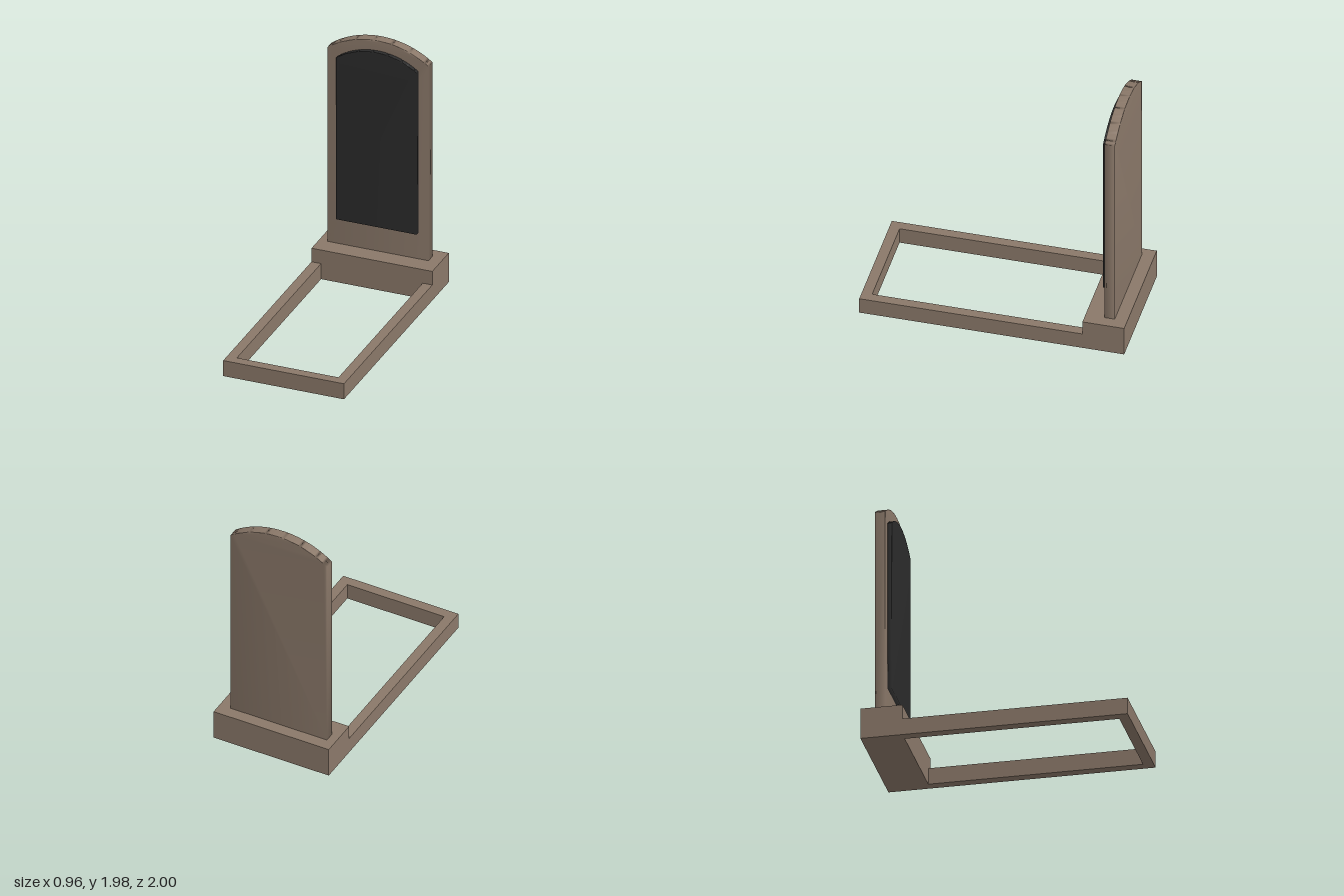
import * as THREE from 'three';
import { mergeVertices } from 'three/addons/utils/BufferGeometryUtils.js';

const stone = new THREE.MeshStandardMaterial({ color: 0x8a7869 });
stone.name = 'brown stone';
const dark = new THREE.MeshStandardMaterial({ color: 0x2b2b2b });
dark.name = 'dark panel';

// Box given by its lower and upper limits on each axis
function block(name, [x0, x1], [y0, y1], [z0, z1]) {
  const mesh = new THREE.Mesh(new THREE.BoxGeometry(x1 - x0, y1 - y0, z1 - z0), stone);
  mesh.position.set((x0 + x1) / 2, (y0 + y1) / 2, (z0 + z1) / 2);
  mesh.name = name;
  return mesh;
}

// Upright slab with a shallow circular arc on top and shared, smooth normals
function archedSlab(name, material, half, y0, shoulder, peak, z0, z1) {
  const rise = peak - shoulder;
  const radius = (half * half + rise * rise) / (2 * rise);
  const angle = Math.asin(half / radius);
  const shape = new THREE.Shape();
  shape.moveTo(-half, y0);
  shape.lineTo(half, y0);
  shape.lineTo(half, shoulder);
  shape.absarc(0, peak - radius, radius, Math.PI / 2 - angle, Math.PI / 2 + angle, false);
  shape.closePath();
  let geometry = new THREE.ExtrudeGeometry(shape, { depth: z1 - z0, bevelEnabled: false, curveSegments: 24 });
  geometry.deleteAttribute('normal');
  geometry.deleteAttribute('uv');
  geometry = mergeVertices(geometry, 1e-4);
  geometry.computeVertexNormals();
  const mesh = new THREE.Mesh(geometry, material);
  mesh.position.set(-0.012, 0, z0);
  mesh.name = name;
  return mesh;
}

export function createModel() {
  const model = new THREE.Group();
  model.name = 'gravestone';

  // Plinth and upright stone with its dark panel
  model.add(block('plinth', [-0.478, 0.478], [0, 0.24], [-1, -0.685]));
  model.add(archedSlab('headstone', stone, 0.4, 0.24, 1.842, 1.975, -0.906, -0.83));
  model.add(archedSlab('facePanel', dark, 0.32, 0.454, 1.785, 1.893, -0.83, -0.798));

  // Low kerb around the plot
  model.add(block('leftKerb', [0.402, 0.478], [0, 0.128], [-0.685, 0.922]));
  model.add(block('rightKerb', [-0.478, -0.402], [0, 0.128], [-0.685, 0.922]));
  model.add(block('frontKerb', [-0.478, 0.478], [0, 0.128], [0.922, 1]));
  return model;
}
